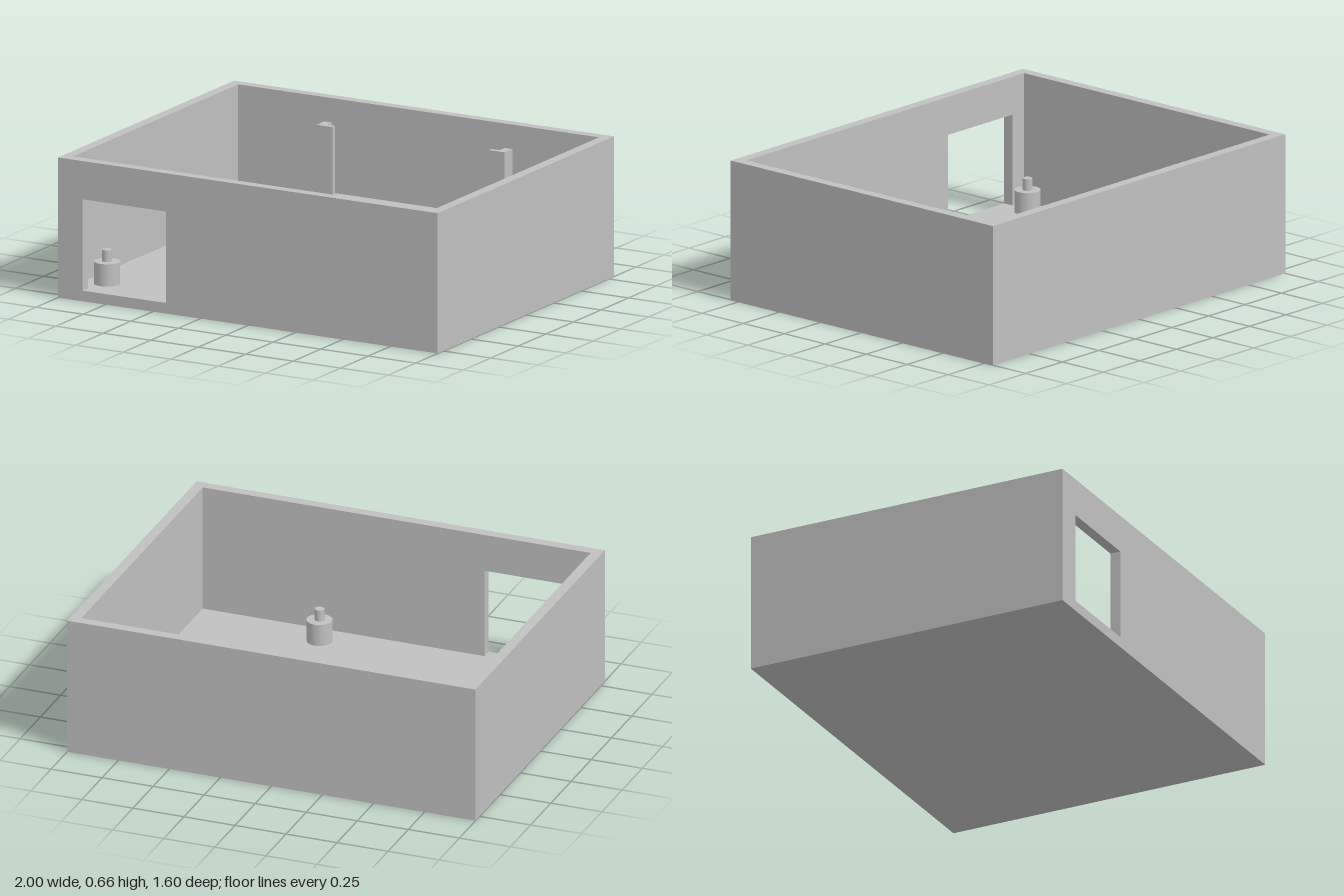
import * as THREE from 'three';

const W = 2, H = 0.66, D = 1.6, T = 0.05; // outer size and wall thickness

export function createModel() {
  const model = new THREE.Group();
  model.name = 'openEnclosure';
  const grey = new THREE.MeshStandardMaterial({ color: 0xc0c0c0 });
  grey.name = 'plain grey';

  const add = (name, geometry, x = 0, y = 0, z = 0, parent = model) => {
    const mesh = new THREE.Mesh(geometry, grey);
    mesh.name = name;
    mesh.position.set(x, y, z);
    parent.add(mesh);
    return mesh;
  };
  // Box given by its minimum and maximum corners
  const box = (name, [x0, y0, z0], [x1, y1, z1], parent = model) =>
    add(name, new THREE.BoxGeometry(x1 - x0, y1 - y0, z1 - z0),
      (x0 + x1) / 2, (y0 + y1) / 2, (z0 + z1) / 2, parent);

  // Floor, side walls and back wall
  box('floor', [-W / 2, 0, -D / 2], [W / 2, T, D / 2]);
  box('rightWall', [-W / 2, T, -D / 2], [-W / 2 + T, H, D / 2]);
  box('leftWall', [W / 2 - T, T, -D / 2], [W / 2, H, D / 2]);
  box('backWall', [-W / 2 + T, T, -D / 2], [W / 2 - T, H, -D / 2 + T]);

  // Front wall with a square opening that reaches down to the floor
  const outline = [
    [-W / 2 + T, T], [-0.87, T], [-0.87, 0.48], [-0.43, 0.48], [-0.43, T],
    [W / 2 - T, T], [W / 2 - T, H], [-W / 2 + T, H],
  ].map(([x, y]) => new THREE.Vector2(x, y));
  add('frontWall', new THREE.ExtrudeGeometry(new THREE.Shape(outline),
    { depth: T, bevelEnabled: false }), 0, 0, D / 2 - T);

  // Four mounting posts, each with a locating pin
  const postGeometry = new THREE.CylinderGeometry(0.06, 0.06, 0.105, 40);
  const pinGeometry = new THREE.CylinderGeometry(0.022, 0.022, 0.055, 32);
  for (const x of [-0.84, 0.33]) {
    for (const z of [-0.36, 0.63]) {
      const post = new THREE.Group();
      post.name = 'mountingPost';
      post.position.set(x, T, z);
      model.add(post);
      add('postBase', postGeometry, 0, 0.0525, 0, post);
      add('postPin', pinGeometry, 0, 0.1325, 0, post);
    }
  }

  // Slide-in holder on the back wall: a bottom ledge and two L-shaped rails
  const holder = new THREE.Group();
  holder.name = 'boardHolder';
  model.add(holder);
  const x0 = -0.497, x1 = 0.493, back = -D / 2 + T, front = -0.68;
  const y0 = 0.175, ledgeTop = 0.215, railTop = 0.545;
  box('holderLedge', [x0, y0, back], [x1, ledgeTop, front], holder);
  for (const side of [-1, 1]) {
    const span = (width) => side < 0 ? [x0, x0 + width] : [x1 - width, x1];
    const [a, b] = span(0.04), [c, d] = span(0.083);
    box('railSide', [a, ledgeTop, back], [b, railTop, -0.705], holder);
    box('railLip', [c, ledgeTop, -0.705], [d, railTop, front], holder);
  }
  return model;
}
